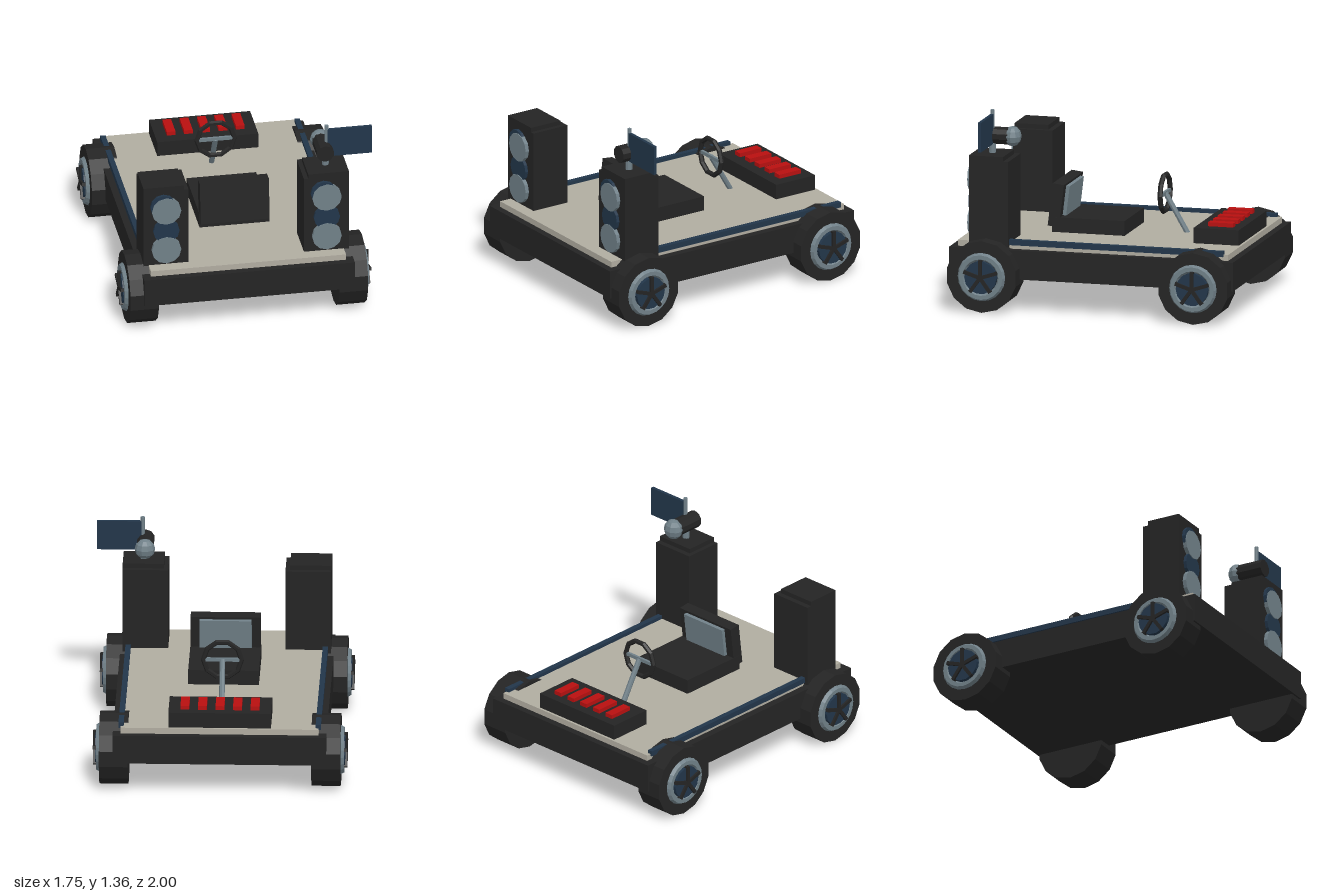
import * as THREE from 'three';

const mat = (name, color, flat = true) => {
  const m = new THREE.MeshStandardMaterial({ color, flatShading: flat });
  m.name = name;
  return m;
};

export function createModel() {
  const black = mat('black', 0x242424);
  const cream = mat('cream', 0xb0aca0);
  const steel = mat('steel', 0x708088);
  const navy = mat('navy', 0x22364a);
  const red = mat('red', 0xb81010);

  const model = new THREE.Group();
  model.name = 'stageCart';
  const cart = new THREE.Group(); // the cart's own centre line
  cart.name = 'cart';
  cart.position.x = -0.0125;
  model.add(cart);

  const add = (parent, name, geo, material, x = 0, y = 0, z = 0) => {
    const m = new THREE.Mesh(geo, material);
    m.name = name;
    m.position.set(x, y, z);
    parent.add(m);
    return m;
  };
  // box given by its minimum and maximum corners
  const box = (parent, name, material, [x0, y0, z0], [x1, y1, z1]) =>
    add(parent, name, new THREE.BoxGeometry(x1 - x0, y1 - y0, z1 - z0), material,
      (x0 + x1) / 2, (y0 + y1) / 2, (z0 + z1) / 2);
  const discX = (r, w, n) => new THREE.CylinderGeometry(r, r, w, n).rotateZ(-Math.PI / 2);
  const discZ = (r, w, n) => new THREE.CylinderGeometry(r, r, w, n).rotateX(Math.PI / 2);

  // Chassis and deck
  box(cart, 'chassis', black, [-0.725, 0.225, -1], [0.725, 0.425, 1]);
  box(cart, 'deck', cream, [-0.672, 0.42, -0.952], [0.672, 0.466, 0.952]);

  // Wheels, built for the +x side and turned round for the other
  for (const side of [1, -1]) {
    for (const z of [0.745, -0.745]) {
      const wheel = new THREE.Group();
      wheel.name = 'wheel';
      wheel.position.set(side * 0.72, 0.248, z);
      if (side < 0) wheel.rotation.y = Math.PI;
      cart.add(wheel);
      const tyre = discX(0.248, 0.196, 14);
      tyre.rotateX(Math.PI / 2);
      add(wheel, 'tyre', tyre, black);
      add(wheel, 'rim', new THREE.TorusGeometry(0.14, 0.028, 6, 20).rotateY(Math.PI / 2), steel, 0.097);
      add(wheel, 'hub', discX(0.113, 0.04, 14), navy, 0.108);
      for (let i = 0; i < 5; i++) {
        const spoke = add(wheel, 'spoke', new THREE.BoxGeometry(0.03, 0.122, 0.024).translate(0, 0.061, 0), black, 0.128);
        spoke.rotation.x = (i * Math.PI * 2) / 5;
      }
    }
  }

  // Side rails and speaker towers
  for (const side of [1, -1]) {
    box(cart, 'sideRail', navy, [side * 0.669 - 0.018, 0.452, -0.92], [side * 0.669 + 0.018, 0.49, 0.6]);

    const tower = new THREE.Group();
    tower.name = 'speakerTower';
    tower.position.x = side * 0.5525;
    cart.add(tower);
    box(tower, 'cabinet', black, [-0.155, 0.44, 0.588], [0.155, 1.03, 0.865]);
    // cap sits flush with the front and the outer side
    const shift = side * 0.015;
    box(tower, 'cabinetCap', black, [-0.14 + shift, 1.03, 0.625], [0.14 + shift, 1.062, 0.865]);
    for (const y of [0.885, 0.585]) add(tower, 'speakerCone', discZ(0.101, 0.03, 12), steel, 0, y, 0.877);
    add(tower, 'speakerRing', discZ(0.09, 0.026, 12), navy, 0, 0.73, 0.874);
    add(tower, 'speakerRing', discZ(0.09, 0.026, 12), navy, -0.02, 0.915, 0.874);
  }

  // Seat, facing the back of the cart
  box(cart, 'seatBase', black, [-0.24, 0.466, -0.1], [0.24, 0.568, 0.41]);
  const backrest = new THREE.Group();
  backrest.name = 'backrest';
  backrest.position.set(0, 0.65, 0.385);
  backrest.rotation.x = -0.12;
  cart.add(backrest);
  add(backrest, 'backPanel', new THREE.BoxGeometry(0.475, 0.296, 0.08), black);
  add(backrest, 'backPad', new THREE.BoxGeometry(0.355, 0.205, 0.026), steel, 0, 0.03, -0.052);

  // Steering wheel and column
  add(cart, 'steeringWheel', new THREE.TorusGeometry(0.129, 0.018, 6, 10), black, 0, 0.73, -0.318);
  box(cart, 'steeringCrossbar', steel, [-0.12, 0.718, -0.328], [0.12, 0.742, -0.31]);
  const top = new THREE.Vector3(0, 0.73, -0.32);
  const foot = new THREE.Vector3(0, 0.46, -0.477);
  const column = add(cart, 'steeringColumn', new THREE.CylinderGeometry(0.019, 0.019, top.distanceTo(foot), 8), steel);
  column.position.copy(top).add(foot).multiplyScalar(0.5);
  column.quaternion.setFromUnitVectors(new THREE.Vector3(0, 1, 0), top.clone().sub(foot).normalize());

  // Control console with five keys
  box(cart, 'console', black, [-0.348, 0.466, -0.935], [0.348, 0.572, -0.617]);
  for (let i = -2; i <= 2; i++) {
    const x = i * 0.119;
    box(cart, 'consoleKey', red, [x - 0.03, 0.565, -0.873], [x + 0.03, 0.6, -0.697]);
  }

  // Flag on the left tower
  add(model, 'flagPole', new THREE.CylinderGeometry(0.014, 0.014, 0.3, 8), steel, 0.562, 1.21, 0.737);
  add(model, 'flagPoleSocket', new THREE.CylinderGeometry(0.024, 0.024, 0.1, 8), steel, 0.555, 1.1, 0.737);
  box(model, 'flag', navy, [0.565, 1.125, 0.727], [0.874, 1.33, 0.749]);

  // Microphone on the left tower
  add(model, 'microphoneBody', discZ(0.06, 0.23, 10), black, 0.543, 1.18, 0.697);
  const head = add(model, 'microphoneHead', new THREE.SphereGeometry(0.07, 10, 6), steel, 0.543, 1.18, 0.598);
  head.scale.z = 0.85;

  return model;
}
